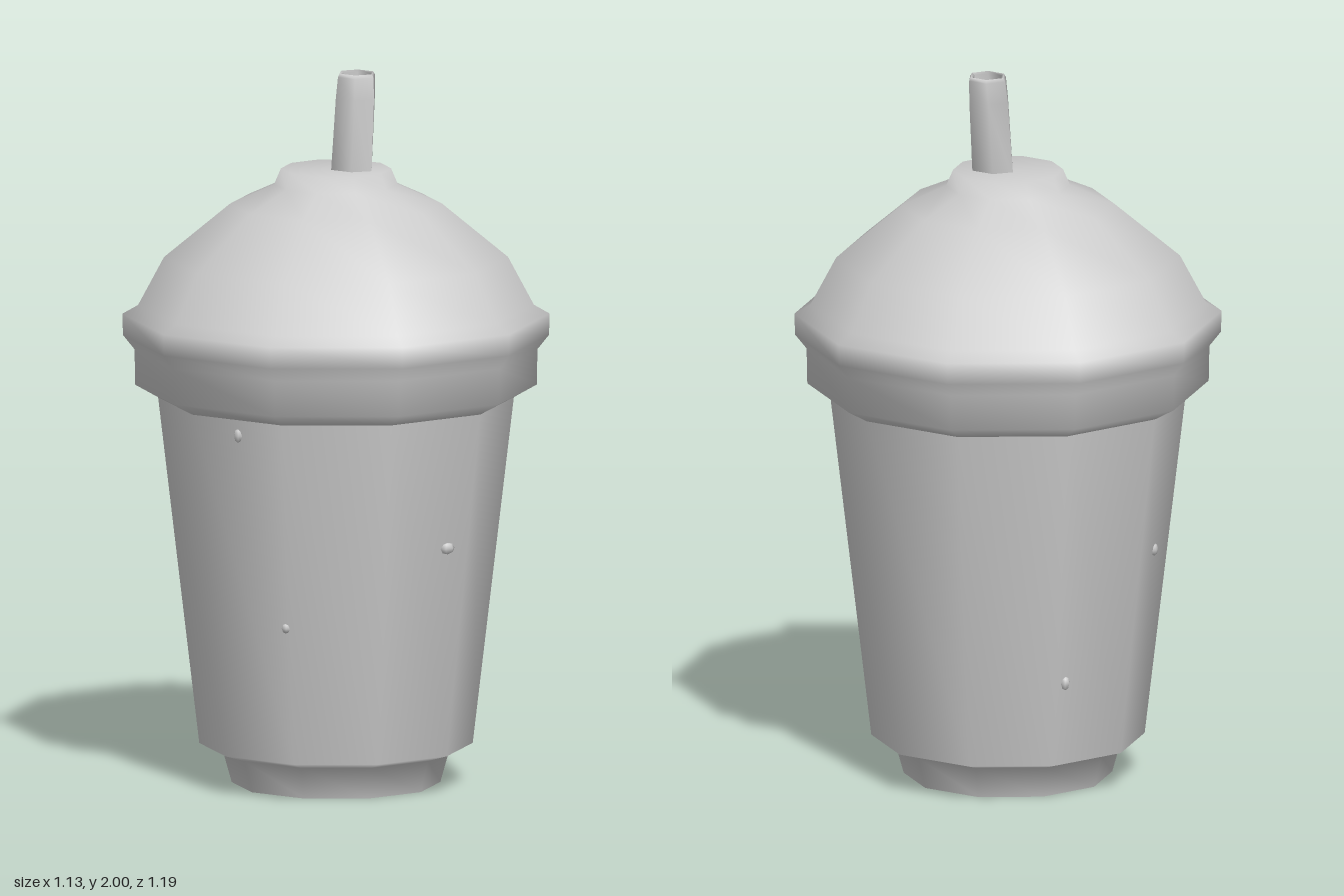
import * as THREE from 'three';

const SIDES = 10;

// Radius of the cup wall at height y
const wallRadius = (y) => 0.38 + (0.495 - 0.38) * (y - 0.11) / (1.09 - 0.11);

function turned(name, profile, material, sides = SIDES) {
  const points = profile.map(([r, y]) => new THREE.Vector2(r, y));
  const mesh = new THREE.Mesh(new THREE.LatheGeometry(points, sides), material);
  mesh.name = name;
  return mesh;
}

export function createModel() {
  const model = new THREE.Group();
  model.name = 'lidded drink cup';
  const grey = new THREE.MeshStandardMaterial({ color: 0xcccccc });

  // Flat underside
  model.add(turned('base', [[0, 0], [0.29, 0]], grey));

  // Foot and tapered wall
  model.add(turned('cup', [
    [0.29, 0], [0.315, 0.09], [0.38, 0.11], [wallRadius(1.09), 1.09],
  ], grey));

  // Lid: skirt, rim, dome and flat crown
  model.add(turned('lid', [
    [0.495, 1.085], [0.558, 1.12], [0.56, 1.22], [0.592, 1.26], [0.594, 1.32],
    [0.55, 1.345], [0.478, 1.48], [0.295, 1.63], [0.172, 1.685], [0.153, 1.73], [0, 1.73],
  ], grey));

  // Hollow six-sided straw, leaning sideways and tapering front to back
  const straw = turned('straw', [
    [0.056, 1.7], [0.056, 1.93], [0.055, 1.99], [0.05, 2], [0.042, 1.995], [0.038, 1.78], [0, 1.78],
  ], grey, 6);
  const p = straw.geometry.attributes.position;
  for (let i = 0; i < p.count; i++) {
    const t = (p.getY(i) - 1.73) / 0.27;
    const depth = 1.25 - 0.2 * t * t;
    p.setX(i, p.getX(i) + 0.018 + 0.015 * t);
    p.setZ(i, p.getZ(i) * depth + 0.04 + 0.007 * t);
  }
  straw.geometry.computeVertexNormals();
  model.add(straw);

  // Small droplets on the wall: x, y, z, half width, half height
  const droplets = new THREE.Group();
  droplets.name = 'droplets';
  const bead = new THREE.SphereGeometry(1, 6, 4);
  for (const [x, y, z, w, h] of [
    [-0.065, 0.71, 0.43, 0.024, 0.017],
    [0.21, 0.35, -0.335, 0.015, 0.02],
    [-0.13, 0.67, -0.4, 0.018, 0.018],
    [-0.463, 1.04, 0, 0.014, 0.02],
    [-0.404, 0.5, 0.12, 0.014, 0.014],
  ]) {
    // Snap each bead onto the flat facet it sits on
    const angle = Math.atan2(x, z);
    const step = 2 * Math.PI / SIDES;
    const facet = (Math.floor(angle / step) + 0.5) * step;
    const dist = wallRadius(y) * Math.cos(step / 2) / Math.cos(angle - facet);
    const drop = new THREE.Mesh(bead, grey);
    drop.name = 'droplet';
    drop.position.set(Math.sin(angle) * dist, y, Math.cos(angle) * dist);
    drop.rotation.y = facet;
    drop.scale.set(w, h, 0.01);
    droplets.add(drop);
  }
  model.add(droplets);

  return model;
}
